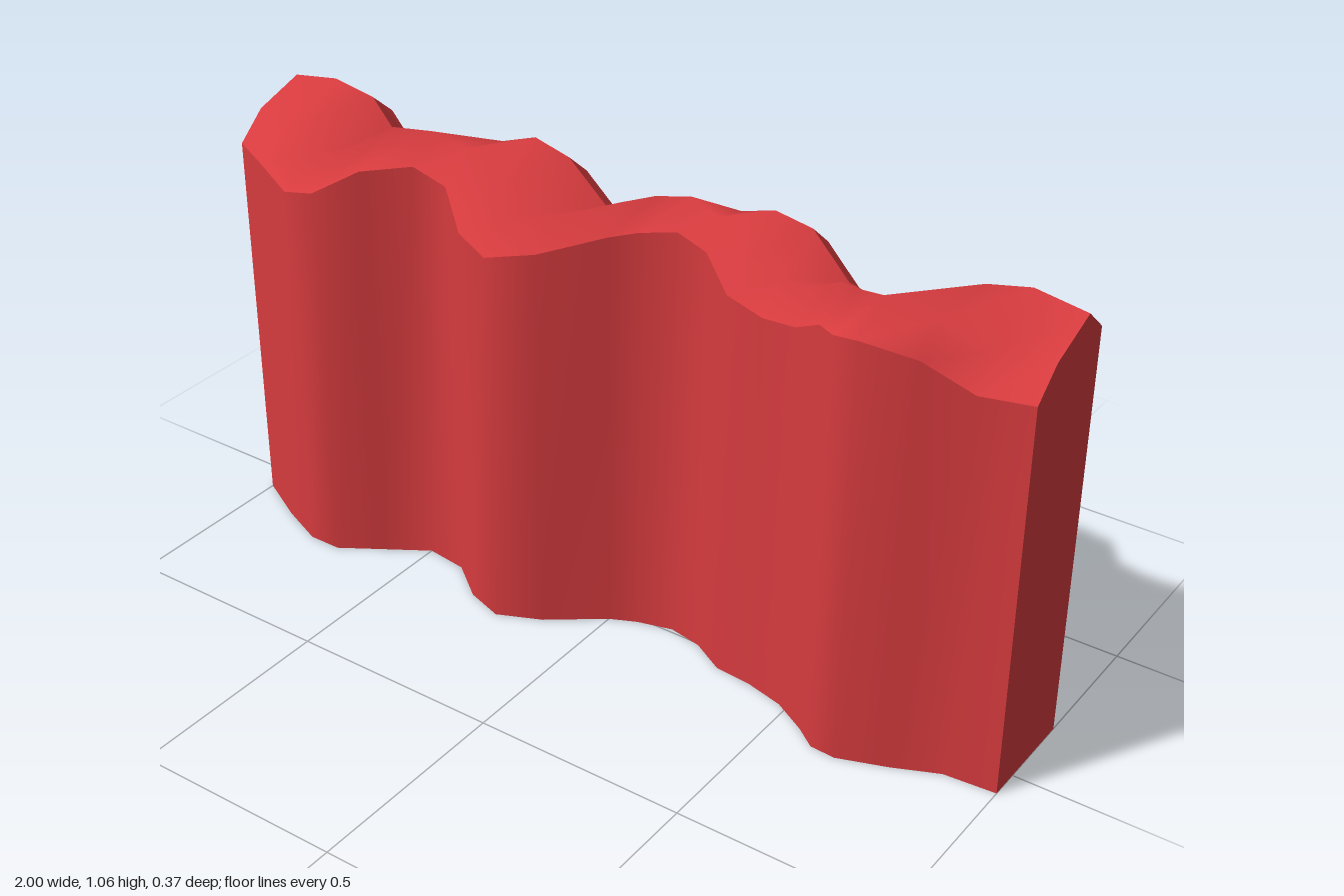
import * as THREE from 'three';

const BACK = -0.188;      // plane of the flat back
const CREST = -0.125;     // line of the rear crest

// Stations along the wall: [x, front z, front top y, front crest z, back top y]
const stations = [
  [-1, 0.07, 0.925, 0.0, 0.97],
  [-0.88, 0.135, 0.93, 0.05, 0.99],
  [-0.77, 0.182, 0.912, 0.09, 0.972],
  [-0.69, 0.182, 0.93, 0.08, 0.88],
  [-0.6, 0.125, 0.985, 0.005, 0.862],
  [-0.5, 0.062, 1.0, 0.0, 0.885],
  [-0.4, 0.075, 0.985, 0.0, 0.962],
  [-0.31, 0.145, 0.93, 0.06, 0.995],
  [-0.22, 0.175, 0.912, 0.09, 0.972],
  [-0.12, 0.13, 0.93, 0.06, 0.882],
  [0.0, 0.04, 0.968, -0.01, 0.862],
  [0.06, 0.012, 0.985, -0.045, 0.89],
  [0.14, -0.01, 1.0, -0.06, 0.93],
  [0.22, 0.005, 0.985, -0.04, 0.97],
  [0.3, 0.05, 0.932, -0.005, 0.995],
  [0.39, 0.058, 0.912, 0.0, 0.98],
  [0.48, 0.08, 0.93, 0.015, 0.885],
  [0.56, 0.125, 0.982, 0.05, 0.868],
  [0.61, 0.162, 0.993, 0.075, 0.868],
  [0.67, 0.165, 1.0, 0.08, 0.88],
  [0.78, 0.125, 0.975, 0.06, 0.975],
  [0.88, 0.08, 0.912, 0.0, 0.998],
  [1, 0.07, 0.925, 0.0, 0.98],
];

// Cross-section corners [z, y] at a station
const section = ([, zf, yf, zr, yk]) => ({
  toe: [zf, 0],
  brow: [zf, yf],
  crest: [zr, yf + 0.061],
  rear: [CREST, yk + 0.055],
  lip: [BACK, yk],
  low: [BACK, 0.3],
  heel: [BACK, 0],
});

// Smooth surface swept through the stations along the named corners
function strip(name, corners, material) {
  const pos = [], index = [], n = corners.length;
  stations.forEach((s, i) => {
    const c = section(s);
    corners.forEach((key, j) => {
      pos.push(s[0], c[key][1], c[key][0]);
      if (i < stations.length - 1 && j < n - 1) {
        const a = i * n + j, b = a + n;
        index.push(a, b, b + 1, a, b + 1, a + 1);
      }
    });
  });
  return finish(name, pos, index, material);
}

// Flat end wall; flip turns it to face +x
function endCap(name, s, flip, material) {
  const c = section(s), pos = [], index = [];
  const keys = ['toe', 'brow', 'crest', 'rear', 'lip', 'heel'];
  keys.forEach((key, j) => {
    pos.push(s[0], c[key][1], c[key][0]);
    if (j > 1) index.push(0, ...(flip ? [j, j - 1] : [j - 1, j]));
  });
  return finish(name, pos, index, material);
}

function finish(name, pos, index, material) {
  const g = new THREE.BufferGeometry();
  g.setAttribute('position', new THREE.Float32BufferAttribute(pos, 3));
  g.setIndex(index);
  g.computeVertexNormals();
  const mesh = new THREE.Mesh(g, material);
  mesh.name = name;
  return mesh;
}

export function createModel() {
  const group = new THREE.Group();
  group.name = 'cliffWall';
  const red = new THREE.MeshStandardMaterial({ color: 0xd63b3e });
  group.add(
    strip('frontFace', ['toe', 'brow'], red),
    strip('crown', ['brow', 'crest', 'rear'], red),
    strip('rearBevel', ['rear', 'lip'], red),
    // Back and underside share soft normals at the heel
    strip('backAndUnderside', ['lip', 'low', 'heel', 'toe'], red),
    endCap('rightEnd', stations[0], false, red),
    endCap('leftEnd', stations[stations.length - 1], true, red),
  );
  return group;
}
